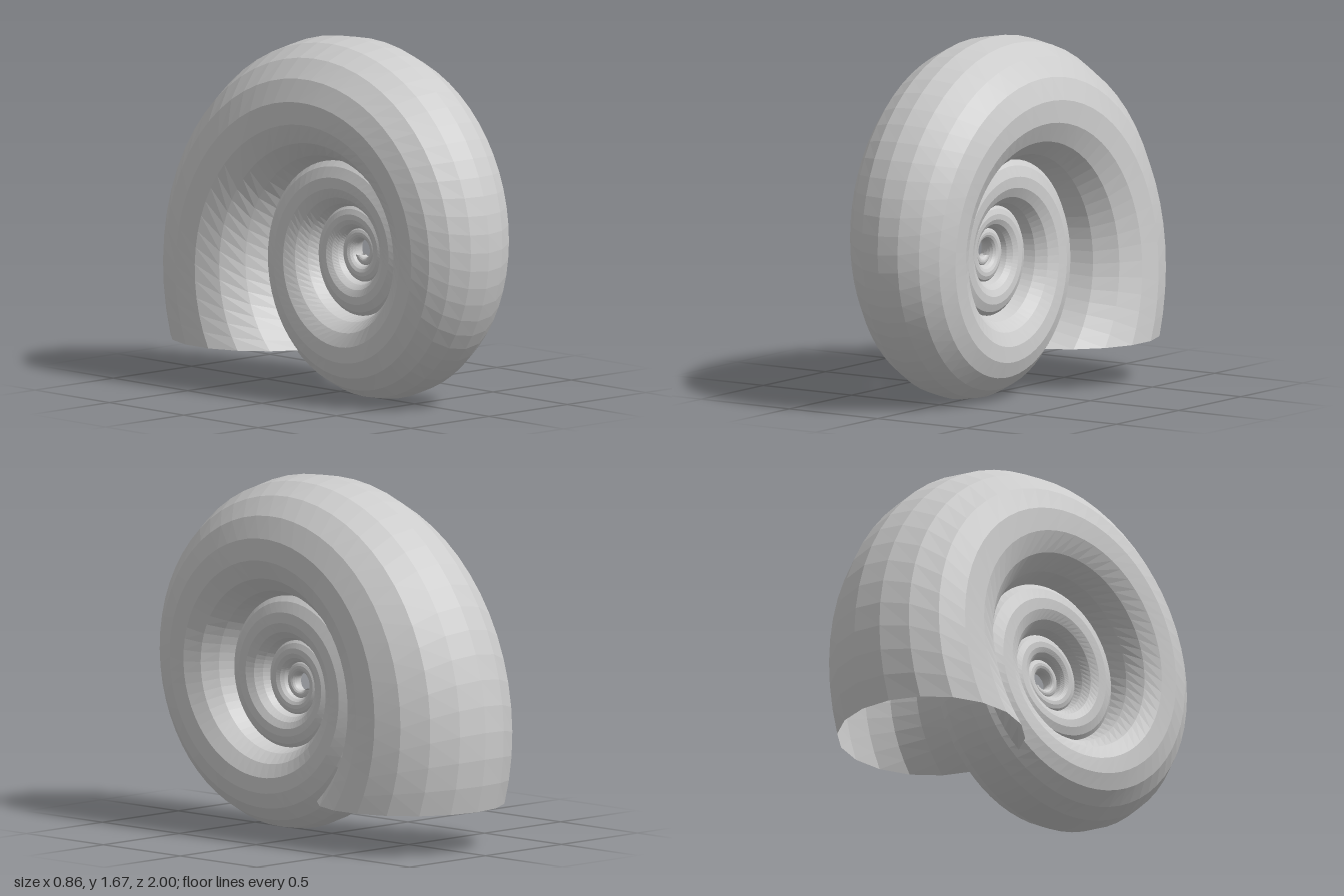
import * as THREE from 'three';

export function createModel() {
  const shellGrey = new THREE.MeshStandardMaterial({ color: 0xcccccc, flatShading: true, side: THREE.DoubleSide });
  shellGrey.name = 'shellGrey';

  // Logarithmic spiral: the mouth ring is turned and shrunk about the spiral's axis
  const axis = { y: 0.689, z: 0.178 };
  const mouth = { y: -0.489, z: -0.69, radius: 0.436 }; // relative to the axis
  const growth = 0.1146, turns = 4, stepsPerTurn = 60, sides = 18;
  const steps = turns * stepsPerTurn;

  const positions = [], index = [];
  for (let i = 0; i <= steps; i++) {
    const turn = ((i - steps) / stepsPerTurn) * Math.PI * 2;
    const scale = Math.exp(growth * turn);
    const c = Math.cos(turn) * scale, s = Math.sin(turn) * scale;
    for (let k = 0; k < sides; k++) {
      const a = (k / sides) * Math.PI * 2;
      const z = mouth.z - mouth.radius * Math.cos(a);
      positions.push(
        mouth.radius * Math.sin(a) * scale,
        axis.y + z * s + mouth.y * c,
        axis.z + z * c - mouth.y * s
      );
      if (i < steps) {
        const p = i * sides + k, q = i * sides + ((k + 1) % sides);
        index.push(p, q, p + sides, q, q + sides, p + sides);
      }
    }
  }

  // Coiled tube, open at the mouth and at the tip
  const geometry = new THREE.BufferGeometry();
  geometry.setAttribute('position', new THREE.Float32BufferAttribute(positions, 3));
  geometry.setIndex(index);
  const flat = geometry.toNonIndexed();
  flat.computeVertexNormals();

  const shell = new THREE.Mesh(flat, shellGrey);
  shell.name = 'spiralShell';
  const group = new THREE.Group();
  group.name = 'seaShell';
  group.add(shell);
  return group;
}
